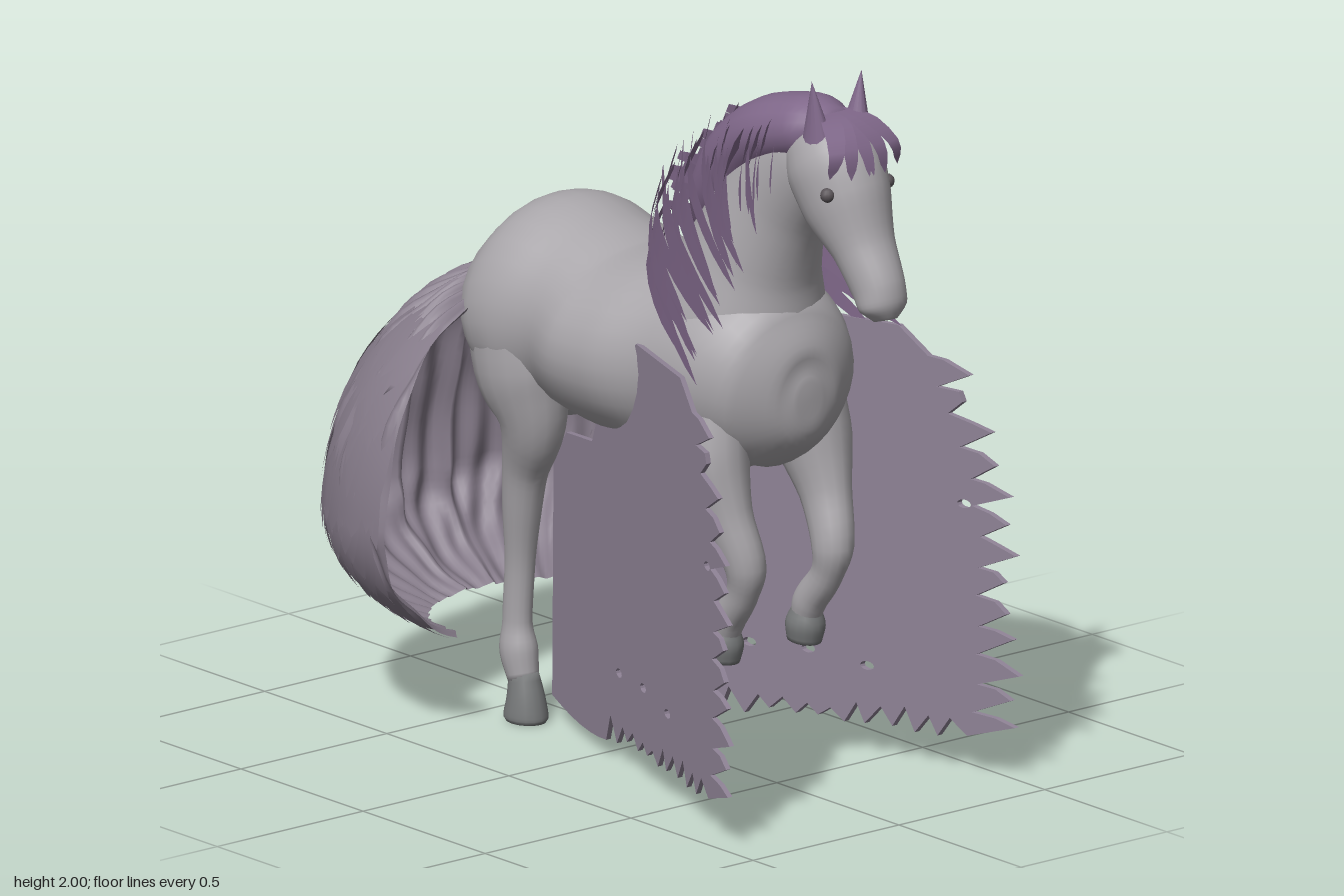
import * as THREE from 'three';
import { mergeGeometries } from 'three/addons/utils/BufferGeometryUtils.js';
import { ParametricGeometry } from 'three/addons/geometries/ParametricGeometry.js';

const COAT = 0xa9a6aa, MANE = 0x80688a, WING = 0x8f8396, TAIL = 0x857b89, HOOF = 0x77797a;

let seed = 7;
const rand = () => (seed = (seed * 16807) % 2147483647) / 2147483647;
const jitter = (a) => (rand() - 0.5) * 2 * a;
const lerp = THREE.MathUtils.lerp;
const V = (x, y, z) => new THREE.Vector3(x, y, z);

// Closed smooth body through elliptical sections [x, y, z, halfWidth, halfDepth]
function loft(sections, rows = 32, n = 24) {
  const path = new THREE.CatmullRomCurve3(sections.map((s) => V(s[0], s[1], s[2])));
  const radii = new THREE.CatmullRomCurve3(sections.map((s) => V(s[3], s[4], 0)));
  const side = V(1, 0, 0), pos = [], index = [];
  for (let i = 0; i <= rows; i++) {
    const c = path.getPoint(i / rows), r = radii.getPoint(i / rows);
    const up = path.getTangent(i / rows).cross(side).normalize();
    for (let j = 0; j < n; j++) {
      const a = (j / n) * Math.PI * 2;
      const p = c.clone().addScaledVector(side, r.x * Math.cos(a)).addScaledVector(up, r.y * Math.sin(a));
      pos.push(p.x, p.y, p.z);
    }
  }
  const start = pos.length / 3;
  pos.push(...path.getPoint(0).toArray(), ...path.getPoint(1).toArray());
  for (let j = 0; j < n; j++) {
    const k = (j + 1) % n, last = rows * n;
    for (let i = 0; i < rows; i++) {
      const a = i * n + j, b = i * n + k;
      index.push(a, b, a + n, b, b + n, a + n);
    }
    index.push(start, k, j, start + 1, last + j, last + k);
  }
  const geo = new THREE.BufferGeometry();
  geo.setAttribute('position', new THREE.Float32BufferAttribute(pos, 3));
  geo.setIndex(index);
  geo.computeVertexNormals();
  return geo;
}

// Flat tapering hair lock along a curve, spread in the direction of "across"
function lock(points, across) {
  const curve = new THREE.CatmullRomCurve3(points);
  return new ParametricGeometry((u, v, target) => {
    const w = Math.pow(1 - v, 0.45) * (0.3 + 0.7 * Math.min(1, v * 3));
    target.copy(curve.getPoint(v)).addScaledVector(across, (u - 0.5) * w);
  }, 2, 8);
}

// Hollow bell of the tail: azimuth a from straight back, polar angle th from the top
function tailPoint(a, th, k, target) {
  const r = Math.pow(Math.max(0, Math.sin(th)), 0.85) * k, y = Math.cos(th) * k;
  const mid = 0.52 + 0.08 * Math.sin(a) ** 2;
  return target.set(0.62 * Math.sin(a) * r, mid + (y > 0 ? 1.23 - mid : mid - 0.2) * y, -0.42 - 0.575 * Math.cos(a) * r);
}

export function createModel() {
  const model = new THREE.Group();
  const add = (name, geo, color, thin = false) => {
    const mat = new THREE.MeshStandardMaterial({ color });
    if (thin) mat.side = THREE.DoubleSide;
    const mesh = new THREE.Mesh(geo, mat);
    mesh.name = name;
    model.add(mesh);
    return mesh;
  };
  const pair = (name, geo, color, thin) => {
    add(name + 'Left', geo, color, thin);
    add(name + 'Right', geo, color, thin).scale.x = -1;
  };

  // Trunk, neck and head
  add('trunk', loft([
    [0, 1.08, -0.62, 0.08, 0.09], [0, 1.09, -0.53, 0.22, 0.19], [0, 1.11, -0.42, 0.3, 0.26],
    [0, 1.13, -0.32, 0.31, 0.3], [0, 1.13, -0.19, 0.29, 0.27], [0, 1.11, -0.05, 0.325, 0.25],
    [0, 1.11, 0.1, 0.32, 0.26], [0, 1.12, 0.26, 0.28, 0.27], [0, 1.12, 0.42, 0.27, 0.28],
    [0, 1.09, 0.55, 0.22, 0.22], [0, 1.08, 0.62, 0.11, 0.13], [0, 1.08, 0.635, 0.04, 0.05]], 55, 32), COAT);
  add('neck', loft([
    [0, 1.1, 0.3, 0.26, 0.28], [0, 1.28, 0.36, 0.225, 0.24], [0, 1.45, 0.42, 0.17, 0.185],
    [0, 1.62, 0.51, 0.125, 0.155], [0, 1.76, 0.64, 0.1, 0.13], [0, 1.82, 0.73, 0.06, 0.08]]), COAT);
  add('head', loft([
    [0, 1.85, 0.67, 0.05, 0.06], [0, 1.82, 0.69, 0.1, 0.12], [0, 1.75, 0.74, 0.125, 0.14],
    [0, 1.66, 0.79, 0.115, 0.13], [0, 1.55, 0.86, 0.085, 0.085], [0, 1.46, 0.915, 0.072, 0.075],
    [0, 1.41, 0.935, 0.068, 0.062], [0, 1.375, 0.945, 0.03, 0.035]]), COAT);
  pair('ear', new THREE.ConeGeometry(0.045, 0.17, 14).scale(0.8, 1, 1.1).rotateZ(-0.12).translate(0.075, 1.915, 0.745), MANE);
  pair('eye', new THREE.SphereGeometry(0.02, 12, 8).translate(0.102, 1.71, 0.83), 0x5a5458);

  // Raised front legs
  pair('frontLeg', loft([
    [0.15, 1.08, 0.38, 0.1, 0.16], [0.175, 0.9, 0.44, 0.095, 0.12], [0.17, 0.76, 0.5, 0.064, 0.078],
    [0.15, 0.63, 0.55, 0.054, 0.06], [0.145, 0.55, 0.53, 0.042, 0.046], [0.14, 0.47, 0.47, 0.044, 0.048],
    [0.14, 0.42, 0.45, 0.038, 0.042]], 28, 16), COAT);
  pair('frontHoof', loft([[0.14, 0.45, 0.455, 0.036, 0.04], [0.14, 0.4, 0.45, 0.052, 0.056], [0.14, 0.355, 0.445, 0.044, 0.05]], 8, 16), HOOF);

  // Standing hind legs
  pair('hindLeg', loft([
    [0.17, 1.15, -0.34, 0.13, 0.18], [0.19, 0.97, -0.31, 0.11, 0.15], [0.18, 0.84, -0.29, 0.08, 0.105],
    [0.16, 0.7, -0.34, 0.055, 0.07], [0.15, 0.58, -0.365, 0.048, 0.058], [0.14, 0.42, -0.385, 0.037, 0.044],
    [0.14, 0.27, -0.395, 0.036, 0.044], [0.14, 0.19, -0.39, 0.048, 0.056], [0.14, 0.11, -0.37, 0.04, 0.044]], 36, 16), COAT);
  pair('hindHoof', loft([[0.14, 0.13, -0.37, 0.038, 0.042], [0.14, 0.06, -0.36, 0.05, 0.055], [0.14, 0.012, -0.36, 0.056, 0.065], [0.14, 0, -0.36, 0.05, 0.06]], 10, 16), HOOF);

  // Ragged hanging side wings, flaring outward to the front
  const wing = new THREE.Shape();
  wing.moveTo(-0.33, 0.72);
  wing.lineTo(-0.34, 0.06);
  wing.quadraticCurveTo(-0.12, 0.02, 0.04, 0.05);
  for (let i = 0; i < 10; i++) { // lower fringe
    const z = 0.06 + i * 0.07;
    wing.lineTo(z + 0.02 + jitter(0.01), 0.1 + 0.004 * i + 0.03 * rand());
    wing.lineTo(z + 0.06 + jitter(0.01), 0.075 + 0.003 * i + jitter(0.02));
  }
  for (let i = 0; i < 13; i++) { // front feather tips
    const t = i / 12, z = 0.79 - 0.15 * t ** 4, y = lerp(0.12, 1.08, t);
    wing.lineTo(z + 0.09 + jitter(0.035), y + 0.02 + jitter(0.01));
    wing.lineTo(z + 0.05, y + 0.045);
    wing.lineTo(z + jitter(0.02), y + 0.055 + jitter(0.008));
  }
  wing.lineTo(0.56, 1.2);
  wing.lineTo(0.25, 1.2);
  wing.lineTo(0.02, 1.0);
  wing.lineTo(-0.06, 0.84);
  wing.lineTo(-0.24, 0.81);
  for (const [z, y] of [[0.3, 0.27], [0.47, 0.25], [0.13, 0.26], [0.75, 0.74]]) {
    wing.holes.push(new THREE.Path().absellipse(z, y, 0.02, 0.012, 0, Math.PI * 2, true));
  }
  const wingGeo = new THREE.ExtrudeGeometry(wing, { depth: 0.016, bevelEnabled: false, curveSegments: 6 });
  const wp = wingGeo.attributes.position;
  for (let i = 0; i < wp.count; i++) {
    const z = wp.getX(i);
    wp.setXYZ(i, 0.17 + 0.35 * z + wp.getZ(i), wp.getY(i), z);
  }
  wingGeo.computeVertexNormals();
  pair('wing', wingGeo, WING, true);

  // Mane: crest pad, side locks swept forward and down, forelock
  add('maneCrest', loft([
    [0, 1.87, 0.75, 0.05, 0.04], [0, 1.84, 0.66, 0.11, 0.09], [0, 1.79, 0.5, 0.12, 0.1],
    [0, 1.7, 0.37, 0.11, 0.1], [0, 1.57, 0.27, 0.09, 0.08], [0, 1.47, 0.22, 0.04, 0.05]], 24, 20), MANE);
  const crest = new THREE.CatmullRomCurve3([V(0, 1.88, 0.6), V(0, 1.81, 0.36), V(0, 1.71, 0.21), V(0, 1.59, 0.08), V(0, 1.46, 0.05)]);
  for (const s of [1, -1]) {
    const locks = [];
    for (let i = 0; i < 32; i++) {
      const t = i / 31, layer = (i % 3) * 0.012;
      const { y, z } = crest.getPoint(t).add(V(0, jitter(0.02), jitter(0.035)));
      const ex = lerp(0.17, 0.34, t) + layer + jitter(0.02);
      const ey = lerp(1.66, 1.2, t) + jitter(0.03), ez = lerp(0.63, 0.55, t) + jitter(0.06);
      locks.push(lock([
        V(s * 0.015, y, z), V(s * (ex * 0.5 + layer), lerp(y, ey, 0.25), lerp(z, ez, 0.3)),
        V(s * (ex * 0.8 + layer), lerp(y, ey, 0.6), lerp(z, ez, 0.65)), V(s * ex, ey, ez)], V(s * 0.01, 0.075, 0.03)));
    }
    add(s > 0 ? 'maneLeft' : 'maneRight', mergeGeometries(locks), MANE, true);
  }
  const forelock = [-2, -1, 0, 1, 2].map((k) => lock([
    V(k * 0.015, 1.9, 0.72), V(k * 0.03, 1.885, 0.8), V(k * 0.05, 1.82, 0.865), V(k * 0.058, 1.74 + 0.01 * Math.abs(k), 0.895 - 0.02 * Math.abs(k))],
    V(0.07, 0, -0.01 * k)));
  add('forelock', mergeGeometries(forelock), MANE, true);

  // Tail: rippled hollow bell with two grooves at the back, under layered locks
  add('tail', new ParametricGeometry((u, v, target) => {
    const a = (u - 0.5) * 3.26, th = v * 2.62;
    const groove = 0.06 * Math.exp(-(((Math.abs(a) - 0.15) / 0.035) ** 2));
    const ripple = 0.98 + 0.016 * Math.sin(a * 42 + 2 * Math.sin(v * 9)) + 0.008 * Math.sin(v * 37 + a * 9);
    tailPoint(a, th, ripple - groove, target);
  }, 160, 40), TAIL, true);
  const tailLocks = [];
  for (let i = 0; i < 170; i++) {
    const s = i % 2 ? 1 : -1, a0 = s * lerp(0.25, 1.58, Math.sqrt(rand()));
    const th0 = lerp(0.55, 2.1, rand()), len = 0.35 + 0.3 * rand(), w = 0.09 + 0.08 * rand(), bend = jitter(0.1);
    tailLocks.push(new ParametricGeometry((u, v, target) => {
      const width = w * Math.pow(Math.sin(Math.PI * (0.08 + 0.92 * v)), 0.7);
      tailPoint(a0 + (u - 0.5) * width + bend * v * v, Math.min(2.7, th0 + len * v), 0.985 + 0.03 * v, target);
    }, 2, 7));
  }
  add('tailLocks', mergeGeometries(tailLocks), TAIL, true);

  return model;
}
